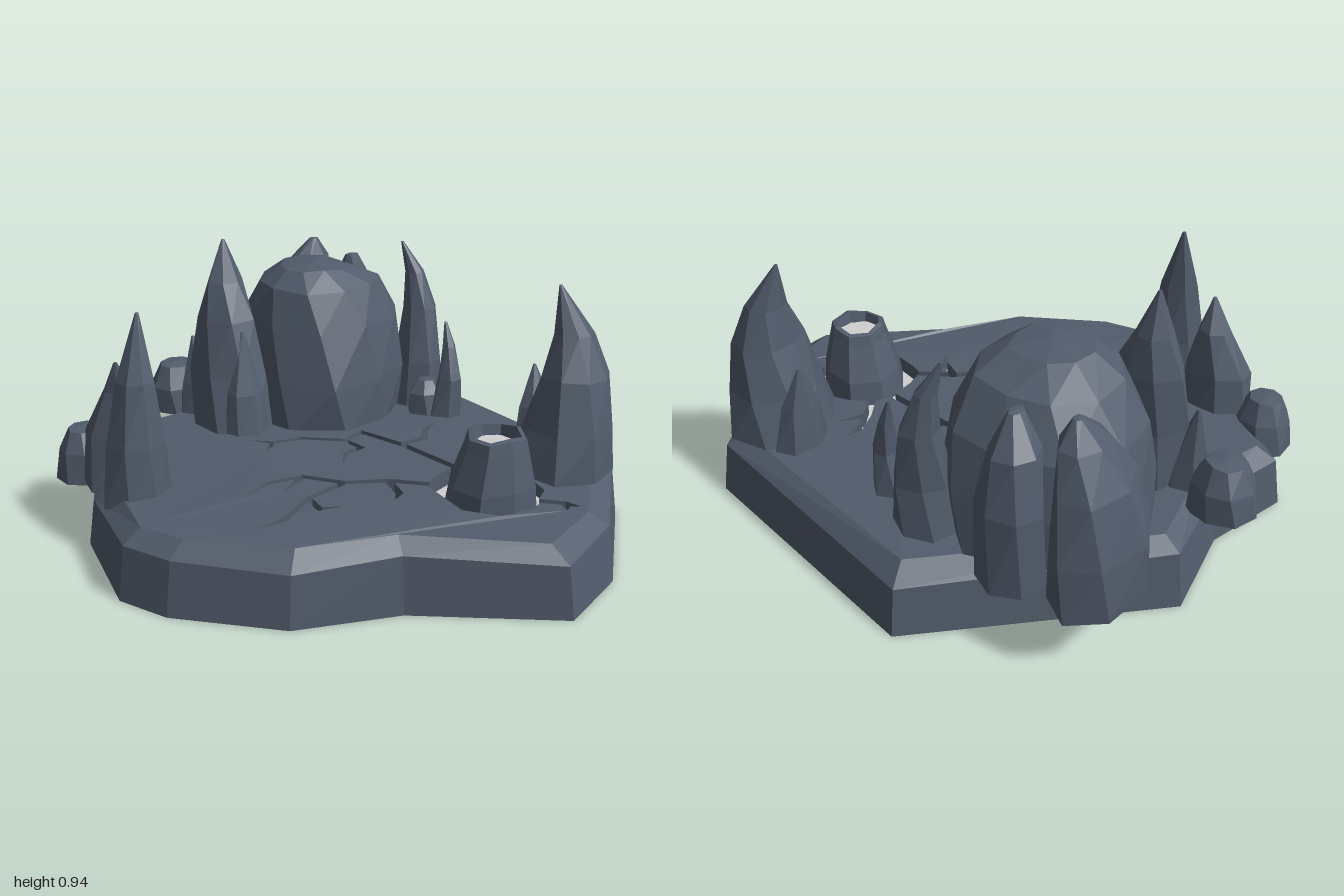
import * as THREE from 'three';

const stone = new THREE.MeshStandardMaterial({ color: 0x525c6c, flatShading: true, side: THREE.DoubleSide });
stone.name = 'slate stone';
const glow = new THREE.MeshStandardMaterial({ color: 0xd0d0d0, side: THREE.DoubleSide });
glow.name = 'pale core';

let seed = 7;
const rand = () => (seed = (seed * 16807) % 2147483647) / 2147483647;

// Skin a stack of closed loops of [x, y, z] points
function loft(loops) {
  const pos = [];
  for (let k = 0; k + 1 < loops.length; k++) {
    const a = loops[k], b = loops[k + 1], n = a.length;
    for (let i = 0; i < n; i++) {
      const j = (i + 1) % n;
      pos.push(...a[i], ...b[i], ...a[j], ...a[j], ...b[i], ...b[j]);
    }
  }
  const g = new THREE.BufferGeometry();
  g.setAttribute('position', new THREE.Float32BufferAttribute(pos, 3));
  g.computeVertexNormals();
  return g;
}

function mesh(name, geometry, material = stone) {
  const m = new THREE.Mesh(geometry, material);
  m.name = name;
  return m;
}

// Irregular rock from rings [y, cx, cz, rx, rz], twisted a little and closed at both ends
function rock(name, sides, rings, rough = 0.1) {
  const bump = Array.from({ length: sides }, () => 1 - rough + rand() * 2 * rough);
  const turn = rand() * 6.28;
  const loops = rings.map(([y, cx, cz, rx, rz], k) => bump.map((b, i) => {
    const a = turn + k * 0.15 + (i / sides) * Math.PI * 2;
    const r = b * (1 + (rand() - 0.5) * rough);
    const lift = k ? (rand() - 0.5) * rough * rx * 1.2 : 0;
    return [cx + Math.cos(a) * rx * r, y + lift, cz + Math.sin(a) * rz * r];
  }));
  const first = rings[0], last = rings[rings.length - 1];
  const cap = ([y, x, z], lift) => bump.map(() => [x, y + lift, z]);
  return mesh(name, loft([cap(first, 0), ...loops, cap(last, last[3] * 0.15)]));
}

// Walk round a branching crack [x, z, ...children] and collect its outline
function walkCrack(prev, node, w, out) {
  const kids = node.slice(2);
  if (!kids.length) { out.push([node[0], node[1]]); return; }
  const dir = (p, q) => {
    const dx = q[0] - p[0], dz = q[1] - p[1], l = Math.hypot(dx, dz);
    return [dx / l, dz / l];
  };
  const corner = (d, e) => {
    const k = w / Math.max(0.2, 1 + d[0] * e[0] + d[1] * e[1]);
    out.push([node[0] - (d[1] + e[1]) * k, node[1] + (d[0] + e[0]) * k]);
  };
  const inDir = dir(prev, node);
  const turn = (c) => {
    const d = dir(node, c);
    return Math.atan2(inDir[0] * d[1] - inDir[1] * d[0], inDir[0] * d[0] + inDir[1] * d[1]);
  };
  let d = inDir;
  for (const c of kids.sort((p, q) => turn(q) - turn(p))) {
    corner(d, dir(node, c));
    walkCrack(node, c, w * 0.92, out);
    d = dir(c, node);
  }
  corner(d, [-inDir[0], -inDir[1]]);
}

// Crack tips where the plateau is parted, each with the rim corner it runs to
const CUTS = [[0.07, -0.49, 0], [-0.33, 0.14, 10], [0.17, 0.61, 6], [0.84, -0.24, 2]];

// Ring gap round the vent; entries with a third item carry a crack
function crackOutline() {
  const west = [0.11, -0.20, [0.14, -0.30, [0.09, -0.37, [0.07, -0.49]]],
    [-0.07, -0.19, [-0.07, -0.09,
      [-0.20, 0, [-0.25, 0.10, [-0.33, 0.14], [-0.20, 0.19]]],
      [0.02, -0.08, [0.01, -0.01, [0.06, 0.07]]]]]];
  const north = [0.36, -0.32, [0.33, -0.40, [0.34, -0.47]], [0.43, -0.41]];
  const south = [0.27, 0.07, [0.36, 0.12, [0.38, 0.17]],
    [0.17, 0.18, [0.03, 0.24, [-0.02, 0.35, [-0.01, 0.48]], [0.07, 0.38]],
      [0.16, 0.35, [0.20, 0.50, [0.17, 0.61]], [0.24, 0.38, [0.29, 0.31]]]]];
  const east = [0.79, -0.22, [0.84, -0.24], [0.82, -0.18]];
  const ring = [[0.41, -0.24, north], [0.37, -0.17, west], [0.37, -0.07], [0.39, 0, south],
    [0.44, 0.03], [0.58, 0.07], [0.69, 0.01], [0.74, -0.11], [0.72, -0.17, east],
    [0.69, -0.25], [0.58, -0.30], [0.48, -0.28]];
  const out = [], w = 0.014;
  for (const [x, z, crack] of ring) {
    if (!crack) { out.push([x, z]); continue; }
    const dx = crack[0] - x, dz = crack[1] - z, l = Math.hypot(dx, dz);
    out.push([x - dz / l * w, z + dx / l * w]);
    walkCrack([x, z], crack, w, out);
    out.push([x + dz / l * w, z - dx / l * w]);
  }
  return out;
}

// Horizontal face from [x, z] points, raised by a height rule
function sheet(pts, height) {
  const g = new THREE.ShapeGeometry(new THREE.Shape(pts.map(([x, z]) => new THREE.Vector2(x, -z))));
  g.rotateX(-Math.PI / 2);
  const p = g.attributes.position;
  for (let i = 0; i < p.count; i++) p.setY(i, height(p.getX(i), p.getZ(i)));
  g.computeVertexNormals();
  return g;
}

// Points of a closed list from index a forward to index b
const span = (list, a, b) => {
  const n = list.length, count = (b - a + n) % n + 1;
  return Array.from({ length: count }, (_, i) => list[(a + i) % n]);
};

function ground() {
  const g = new THREE.Group();
  g.name = 'ground';
  const top = (x, z) => 0.26 - 0.06 * Math.max(0, Math.hypot(x, z) - 0.45);
  // Outer foot x, z and the height of the shoulder above it
  const foot = [[-0.24, -0.91, 0.17], [0.73, -0.70, 0.19], [0.97, -0.25, 0.2], [1, 0.045, 0.18],
    [0.585, 0.37, 0.2], [0.38, 0.67, 0.18], [0.04, 0.87, 0.19], [-0.15, 0.905, 0.19],
    [-0.53, 0.735, 0.17], [-0.93, 0.40, 0.18], [-0.84, 0.08, 0.18], [-0.90, -0.27, 0.2]];
  const rim = foot.map(([x, z]) => [x * 0.9, z * 0.9]);
  g.add(mesh('cliff', loft([
    foot.map(([x, z]) => [x, 0, z]),
    foot.map(([x, z, y]) => [x * 0.972, y, z * 0.972]),
    rim.map(([x, z]) => [x, top(x, z), z]),
  ])));
  // Plateau pieces around the cracks
  const crack = crackOutline();
  const at = ([x, z]) => crack.findIndex((p) => p[0] === x && p[1] === z);
  CUTS.forEach((cut, i) => {
    const next = CUTS[(i + 1) % CUTS.length];
    const pts = [...span(crack, at(cut), at(next)), ...span(rim, next[2], cut[2])];
    g.add(mesh('plateau', sheet(pts, top)));
  });
  g.add(mesh('crackWalls', loft([0, 0.11].map((d) => crack.map(([x, z]) => [x, top(x, z) - d, z])))));
  const bed = [[-0.23, -0.4], [0.04, -0.55], [0.5, -0.5], [0.84, -0.32], [0.88, -0.05], [0.68, 0.14],
    [0.4, 0.5], [0.17, 0.69], [-0.02, 0.57], [-0.28, 0.52], [-0.45, 0.25], [-0.42, 0.02]];
  g.add(mesh('coreBed', sheet(bed, () => 0.2), glow));
  return g;
}

function vent() {
  const g = new THREE.Group();
  g.name = 'vent';
  const rings = [[0.19, 0.565, 0.162], [0.29, 0.57, 0.15], [0.42, 0.58, 0.112], [0.46, 0.58, 0.102],
    [0.465, 0.58, 0.085], [0.42, 0.58, 0.076]];
  g.add(mesh('ventCone', loft(rings.map(([y, x, r]) => Array.from({ length: 8 }, (_, i) => {
    const a = (i + 0.5) * Math.PI / 4, k = i % 3 ? 1 : 0.93;
    return [x + Math.cos(a) * r * k, y + (i % 3 ? 0 : 0.012), -0.105 + Math.sin(a) * r * k];
  })))));
  g.add(mesh('ventCore', new THREE.CircleGeometry(0.08, 8).rotateX(-Math.PI / 2).translate(0.58, 0.43, -0.105), glow));
  return g;
}

export function createModel() {
  const model = new THREE.Group();
  model.name = 'rockyOutcrop';
  model.add(ground(), vent());
  // Boulders
  model.add(
    rock('greatBoulder', 10, [[0.235, -0.43, -0.34, 0.34, 0.33], [0.42, -0.43, -0.35, 0.34, 0.33],
      [0.62, -0.43, -0.35, 0.31, 0.3], [0.76, -0.42, -0.33, 0.23, 0.23], [0.825, -0.41, -0.3, 0.13, 0.13]], 0.07),
    rock('backSlab', 7, [[0.22, -0.75, -0.54, 0.14, 0.22], [0.42, -0.75, -0.55, 0.14, 0.22],
      [0.62, -0.73, -0.56, 0.115, 0.17], [0.75, -0.70, -0.58, 0.07, 0.1], [0.83, -0.69, -0.6, 0.015, 0.02]], 0.07),
    rock('backSlabSmall', 7, [[0.22, -0.52, -0.66, 0.11, 0.11], [0.5, -0.52, -0.67, 0.11, 0.1],
      [0.68, -0.52, -0.65, 0.08, 0.08], [0.79, -0.5, -0.62, 0.02, 0.03]], 0.07),
    rock('sideBoulder', 8, [[0.22, -0.88, 0.01, 0.12, 0.12], [0.32, -0.88, 0.01, 0.105, 0.115],
      [0.4, -0.88, 0.01, 0.065, 0.07]], 0.05),
    rock('frontBoulder', 8, [[0.13, -0.78, 0.545, 0.11, 0.12], [0.24, -0.78, 0.545, 0.095, 0.1],
      [0.315, -0.78, 0.545, 0.06, 0.06]], 0.05),
    rock('backRubble', 6, [[0.23, -0.04, -0.54, 0.08, 0.07], [0.33, -0.05, -0.54, 0.065, 0.06],
      [0.38, -0.05, -0.55, 0.03, 0.03]]));
  // Spires
  model.add(
    rock('tallSpire', 7, [[0.235, -0.54, 0.03, 0.18, 0.14], [0.45, -0.57, 0.02, 0.16, 0.12],
      [0.65, -0.59, 0.0, 0.11, 0.1], [0.79, -0.60, -0.01, 0.06, 0.07], [0.94, -0.61, -0.02, 0.006, 0.006]]),
    rock('tallSpireFlank', 6, [[0.235, -0.43, 0.07, 0.1, 0.09], [0.4, -0.44, 0.06, 0.075, 0.07],
      [0.62, -0.47, 0.03, 0.008, 0.008]]),
    rock('smallSpire', 6, [[0.22, -0.73, 0.03, 0.09, 0.07], [0.36, -0.74, 0.03, 0.06, 0.05],
      [0.54, -0.76, 0.02, 0.006, 0.006]]),
    rock('frontSpire', 7, [[0.19, -0.36, 0.635, 0.12, 0.12], [0.4, -0.36, 0.635, 0.105, 0.095],
      [0.62, -0.36, 0.615, 0.07, 0.06], [0.84, -0.38, 0.58, 0.006, 0.006]]),
    rock('frontSpireSmall', 7, [[0.16, -0.58, 0.55, 0.13, 0.12], [0.36, -0.58, 0.55, 0.115, 0.095],
      [0.52, -0.55, 0.545, 0.055, 0.05], [0.63, -0.53, 0.57, 0.006, 0.006]]),
    rock('backHorn', 7, [[0.235, -0.17, -0.63, 0.12, 0.11], [0.42, -0.16, -0.64, 0.1, 0.09],
      [0.62, -0.18, -0.67, 0.065, 0.065], [0.76, -0.21, -0.67, 0.035, 0.035], [0.875, -0.26, -0.65, 0.005, 0.005]]),
    rock('backHornSmall', 6, [[0.24, 0.03, -0.57, 0.065, 0.07], [0.4, 0.045, -0.575, 0.045, 0.045],
      [0.52, 0.025, -0.59, 0.025, 0.025], [0.61, 0, -0.6, 0.005, 0.005]]),
    rock('rightSpire', 8, [[0.235, 0.61, -0.485, 0.19, 0.2], [0.4, 0.63, -0.49, 0.165, 0.17],
      [0.58, 0.635, -0.5, 0.12, 0.13], [0.72, 0.61, -0.51, 0.07, 0.075], [0.88, 0.55, -0.5, 0.005, 0.005]], 0.07),
    rock('rightSpireSmall', 6, [[0.235, 0.46, -0.55, 0.075, 0.1], [0.4, 0.45, -0.55, 0.05, 0.065],
      [0.55, 0.43, -0.56, 0.005, 0.005]]));
  return model;
}
